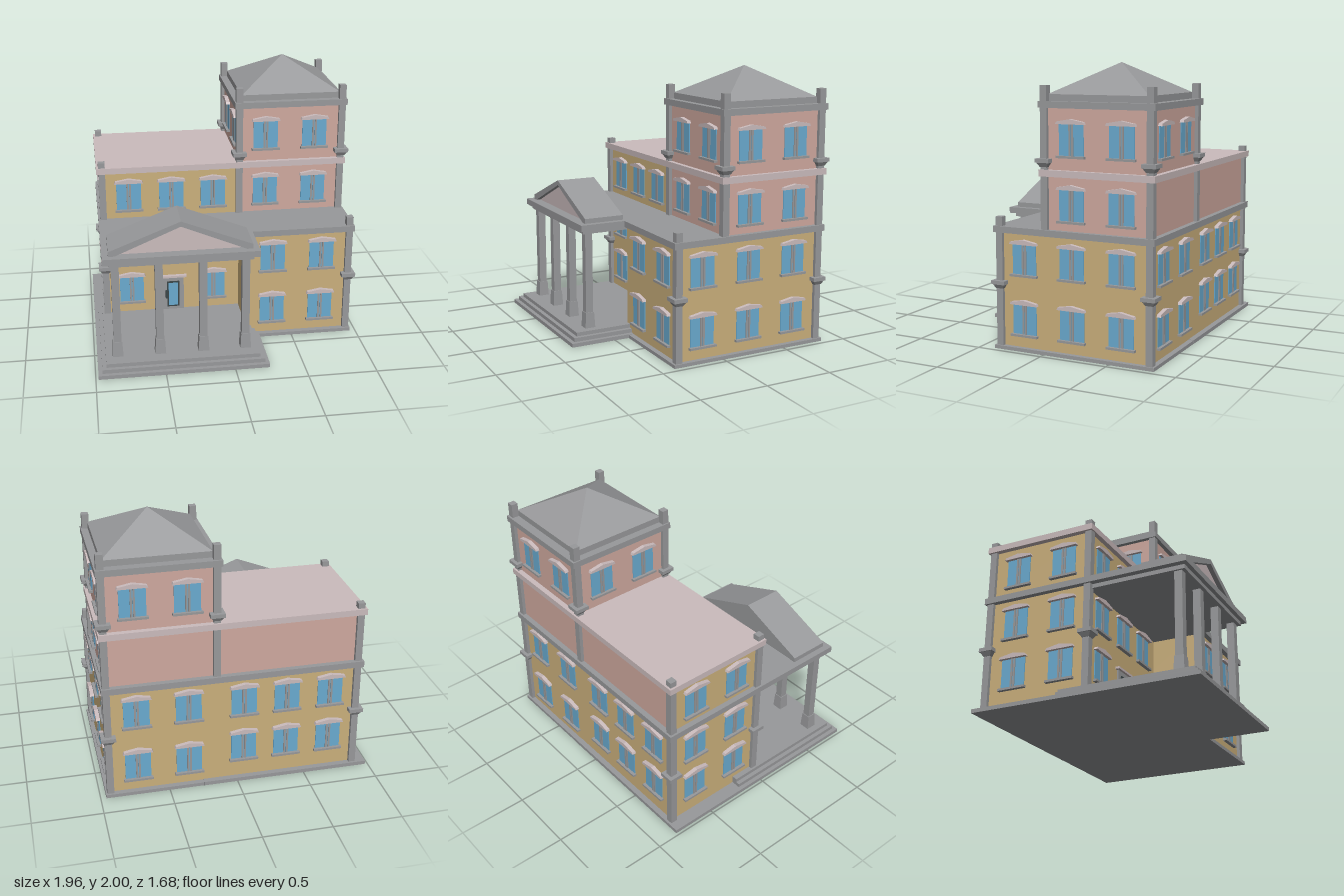
import * as THREE from 'three';

const mat = (name, color) => {
  const m = new THREE.MeshStandardMaterial({ color });
  m.name = name;
  return m;
};

export function createModel() {
  const root = new THREE.Group();
  root.name = 'townHall';
  const yellow = mat('yellow plaster', 0xcbb07c);
  const pink = mat('pink plaster', 0xcfa99f);
  const grey = mat('grey stone', 0x98999b);
  const trim = mat('pale trim', 0xcbbcbd);
  const glass = mat('blue glass', 0x6aabd0);
  const dark = mat('dark door frame', 0x3a4548);

  const add = (parent, name, geo, material) => {
    const m = new THREE.Mesh(geo, material);
    m.name = name;
    parent.add(m);
    return m;
  };
  // Box given by its lower and upper limits on each axis
  const block = (name, material, x0, x1, y0, y1, z0, z1, parent = root) => {
    const m = add(parent, name, new THREE.BoxGeometry(x1 - x0, y1 - y0, z1 - z0), material);
    m.position.set((x0 + x1) / 2, (y0 + y1) / 2, (z0 + z1) / 2);
    return m;
  };
  // Outline in x and y, extruded along z
  const prism = (points, depth) => new THREE.ExtrudeGeometry(
    new THREE.Shape(points.map(([x, y]) => new THREE.Vector2(x, y))), { depth, bevelEnabled: false });
  // Square shaft whose width changes from bottom to top
  const taper = (bottom, top, height) => new THREE.CylinderGeometry(
    top / Math.SQRT2, bottom / Math.SQRT2, height, 4, 1).rotateY(Math.PI / 4).toNonIndexed();
  const flat = (geo) => { geo.computeVertexNormals(); return geo; };

  // Wall planes
  const L = -0.88, M = 0.15, R = 0.925, B = -0.79, F = -0.01, W = 0.35;

  // Plinth and portico steps
  block('mainPlinth', grey, -0.9, 0.96, 0, 0.025, -0.83, 0.39);
  block('lowerStep', grey, -0.98, 0.25, 0, 0.028, -0.832, 0.84);
  block('middleStep', grey, -0.95, 0.22, 0.028, 0.057, -0.2, 0.81);
  block('upperStep', grey, -0.92, 0.19, 0.057, 0.085, -0.2, 0.78);

  // Walls
  block('leftWingWalls', yellow, L, M, 0.02, 0.83, B, F);
  block('rightWingWalls', yellow, M, R, 0.02, 0.83, B, W);
  block('leftWingUpperWalls', [yellow, yellow, yellow, yellow, yellow, pink], L, M, 0.87, 1.24, B, F);
  block('towerMiddleWalls', pink, M, R, 0.87, 1.24, B, F);
  block('towerTopWalls', pink, M, R, 1.28, 1.7, B, F);

  // Cornices and flat roofs
  block('lowerCornice', grey, -0.92, 0.96, 0.83, 0.875, -0.83, 0.39);
  block('porticoEntablature', grey, -0.92, 0.19, 0.83, 0.875, 0.39, 0.73);
  block('porticoCeiling', grey, -0.875, 0.15, 0.8, 0.83, F, 0.7);
  block('paleCorniceAndRoof', trim, -0.92, 0.96, 1.24, 1.285, -0.83, 0.025);
  block('towerCornice', grey, 0.115, 0.96, 1.7, 1.745, -0.83, 0.025);

  // Tower roof
  block('towerRoofBase', grey, 0.17, 0.91, 1.745, 1.79, -0.765, -0.025);
  add(root, 'towerRoof', flat(taper(0.74, 0.0002, 0.21)), grey).position.set(0.54, 1.895, -0.395);

  // Corner pillars with bracketed capitals
  const pillar = (x, z, y0, y1, bracketY) => {
    const g = new THREE.Group();
    g.name = 'cornerPillar';
    root.add(g);
    block('shaft', grey, x - 0.025, x + 0.025, y0, y1, z - 0.025, z + 0.025, g);
    for (const y of bracketY) {
      add(g, 'bracket', flat(taper(0.055, 0.09, 0.03)), grey).position.set(x, y - 0.03, z);
      block('bracketCap', grey, x - 0.052, x + 0.052, y - 0.015, y + 0.012, z - 0.052, z + 0.052, g);
    }
  };
  pillar(L, F, 0.02, 1.325, [0.478]);
  pillar(L, B, 0.02, 1.325, [0.478]);
  pillar(R, W, 0.02, 0.94, [0.478]);
  pillar(R, B, 0.02, 1.85, [0.478, 1.348]);
  pillar(R, F, 0.87, 1.85, [1.348]);
  pillar(M, F, 0.87, 1.85, [1.348]);
  pillar(M, B, 0.87, 1.85, [1.348]);

  // Portico columns
  for (const x of [-0.832, -0.525, -0.21, 0.097]) {
    const g = new THREE.Group();
    g.name = 'porticoColumn';
    g.position.set(x, 0, 0.647);
    root.add(g);
    block('shaft', grey, -0.028, 0.028, 0.19, 0.8, -0.028, 0.028, g);
    add(g, 'pedestal', flat(taper(0.078, 0.066, 0.115)), grey).position.y = 0.1425;
  }

  // Portico gable: sloping frame, inset pale panel and closed back
  const mid = -0.365;
  const gable = new THREE.Group();
  gable.name = 'porticoGable';
  gable.position.set(mid, 0, 0);
  root.add(gable);
  const frame = [[-0.51, 0.875], [-0.51, 0.91], [0, 1.11], [0.51, 0.91], [0.51, 0.875], [0.465, 0.875], [0, 1.072], [-0.465, 0.875]];
  add(gable, 'gableRoof', prism(frame, 0.3), grey).position.z = 0.382;
  const inner = [[-0.465, 0.875], [0.465, 0.875], [0, 1.072]];
  add(gable, 'gablePanel', prism(inner, 0.008), trim).position.z = 0.64;
  add(gable, 'gableBack', prism(inner, 0.008), grey).position.z = 0.384;

  // Window: two panes, mullion, sill and low pointed hood; local z = 0 on the wall
  const hood = prism([[-0.107, 0.105], [0.107, 0.105], [0.1, 0.122], [0, 0.14], [-0.1, 0.122]], 0.03);
  const windowAt = (x, y, z, turn) => {
    const g = new THREE.Group();
    g.name = 'window';
    g.position.set(x, y, z);
    g.rotation.y = turn;
    root.add(g);
    block('panes', glass, -0.092, 0.092, -0.11, 0.11, -0.002, 0.006, g);
    for (const s of [-1, 1])
      block('mullion', grey, s * 0.01 - 0.007, s * 0.01 + 0.007, -0.11, 0.11, 0, 0.012, g);
    block('sill', grey, -0.105, 0.105, -0.122, -0.106, 0, 0.028, g);
    add(g, 'hood', hood, trim);
  };
  const leftX = [-0.685, -0.365, -0.05], rightX = [0.35, 0.72], sideZ = [-0.21, -0.58];
  const low = 0.225, lowLeft = 0.28, second = 0.65, third = 1.05, top = 1.49;
  const back = Math.PI, toRight = Math.PI / 2, toLeft = -Math.PI / 2;

  for (const x of leftX) {
    if (x !== mid) windowAt(x, lowLeft, F, 0);
    windowAt(x, second, F, 0);
    windowAt(x, third, F, 0);
    windowAt(x, lowLeft, B, back);
    windowAt(x, second, B, back);
  }
  for (const x of rightX) {
    for (const y of [low, second]) {
      windowAt(x, y, W, 0);
      windowAt(x, y, B, back);
    }
    windowAt(x, third, F, 0);
    windowAt(x, top, F, 0);
    windowAt(x, top, B, back);
  }
  for (const z of [0.16, ...sideZ])
    for (const y of [low, second]) windowAt(R, y, z, toRight);
  for (const z of sideZ) {
    for (const y of [third, top]) windowAt(R, y, z, toRight);
    for (const y of [lowLeft, second, third]) windowAt(L, y, z, toLeft);
    windowAt(M, top, z, toLeft);
  }

  // Front door
  const door = new THREE.Group();
  door.name = 'frontDoor';
  door.position.set(mid, 0, F);
  root.add(door);
  block('surround', grey, -0.083, 0.083, 0.085, 0.36, 0, 0.012, door);
  block('lintel', trim, -0.105, 0.105, 0.36, 0.376, 0, 0.03, door);
  block('doorLeaf', dark, -0.048, 0.048, 0.11, 0.325, 0.01, 0.018, door);
  block('doorGlass', glass, -0.036, 0.036, 0.122, 0.313, 0.016, 0.021, door);
  block('handle', dark, -0.06, -0.048, 0.185, 0.25, 0.01, 0.03, door);

  return root;
}
